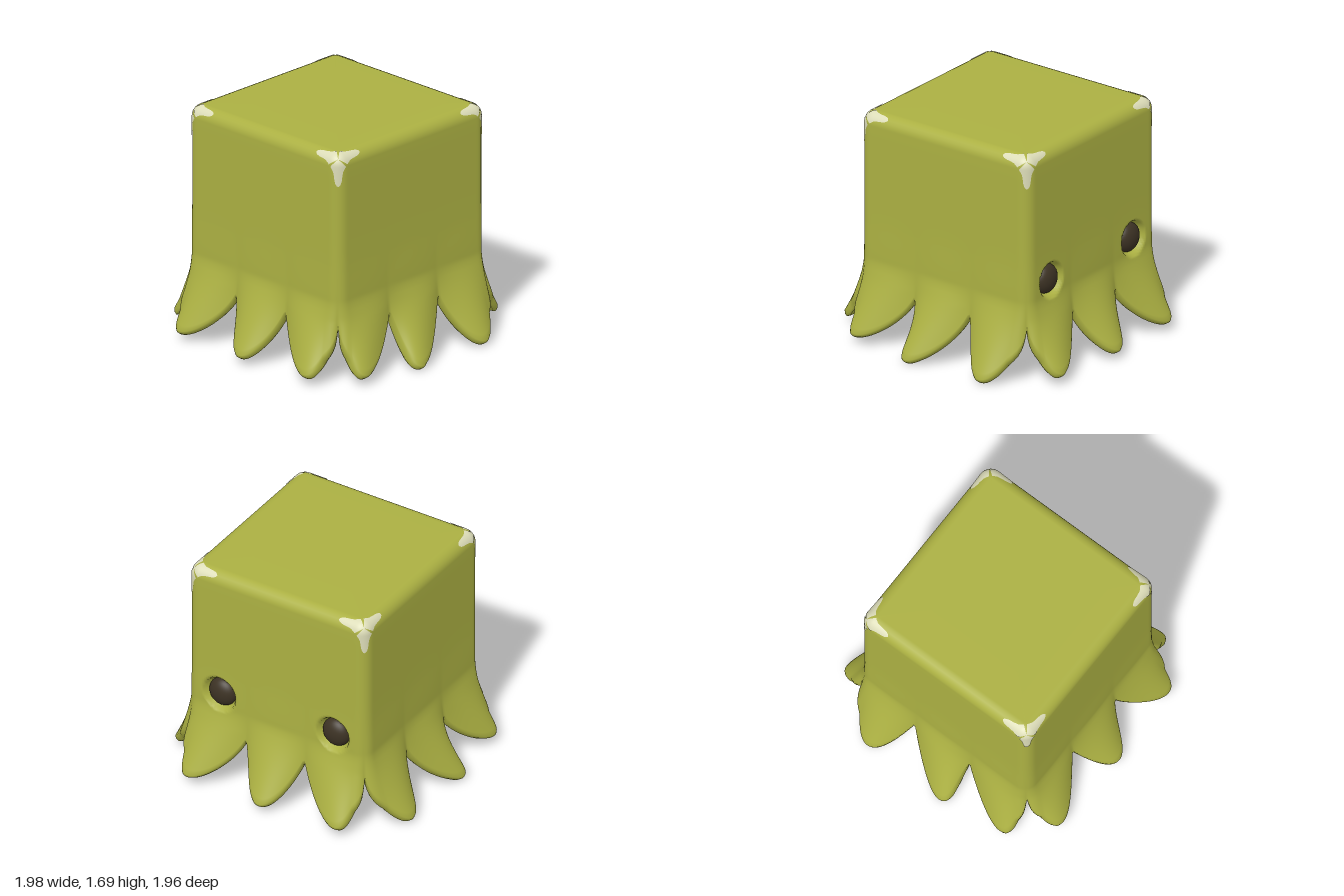
import * as THREE from 'three';
import { mergeVertices } from 'three/addons/utils/BufferGeometryUtils.js';

const H = 0.74, R = 0.09, TOP = 1.69;      // half width, edge radius, height of the block
const EYE = { x: 0.47, y: 0.695, r: 0.137 };
const NOTCH = 0.38, BELLY = 0.42;

// Tentacles per side, along the side's tangent: [tip height, outward reach, sideways lean]
const ends = [[0.05, 0.93, -0.13], [0.04, 1.03, 0], [0.05, 0.93, 0.13]];
const flank = [[0.05, 0.83, -0.17], [0, 0.98, -0.15], [0.01, 0.95, 0]];
const flankMirror = flank.map(([y, k, s]) => [y, k, -s]).reverse();
const SIDES = [
  { t: [1, 0], n: [0, 1], legs: ends },
  { t: [0, -1], n: [1, 0], legs: flank },
  { t: [-1, 0], n: [0, -1], legs: ends },
  { t: [0, 1], n: [-1, 0], legs: flankMirror },
];
const BOUNDS = [-H, -0.24, 0.24, H];
const lerp = THREE.MathUtils.lerp;

function flare(y) {
  const k = Math.max(0, 0.6 - y);
  return 0.53 * k * k / (k + 0.12) + 0.008 * THREE.MathUtils.smoothstep(0.95 - y, 0, 0.35);
}

// One vertical strip of the skin: crown, rounded edge, wall, tentacle, inner face, underside
function column(side, a) {
  const i = a < BOUNDS[1] ? 0 : a < BOUNDS[2] ? 1 : 2;
  const [tip, reach, lean] = side.legs[i];
  const mid = (BOUNDS[i] + BOUNDS[i + 1]) / 2, half = (BOUNDS[i + 1] - BOUNDS[i]) / 2;
  const t = Math.min(1, Math.abs(a - mid) / half);
  const qa = THREE.MathUtils.clamp(a, R - H, H - R), qn = H - R;
  const len = Math.hypot(a - qa, R), da = (a - qa) / len, dn = R / len;
  const pts = [];
  const put = (off, y, scale = 1) => {
    const g = THREE.MathUtils.clamp((0.45 - y) / 0.42, 0, 1) * (1 - t * t);
    const la = (qa + da * (R + off)) * scale + lean * g;
    const ln = (qn + dn * (R + off)) * scale;
    const x = side.t[0] * la + side.n[0] * ln;
    let z = side.t[1] * la + side.n[1] * ln;
    // eye sockets pressed into the back wall
    if (z < -0.7 && y > 0.5) {
      const d = Math.hypot(Math.abs(x) - EYE.x, y - EYE.y);
      z += 0.06 * THREE.MathUtils.smoothstep(EYE.r - d, 0, 0.035);
    }
    pts.push([x, y, z]);
  };
  const out = y => flare(y) * reach * (1 - 0.75 * t * t);

  for (const s of [0, 0.5]) put(-R, TOP, s);
  for (let j = 0; j <= 6; j++) {
    const w = (1 - j / 6) * Math.PI / 2;
    put(R * (Math.cos(w) - 1), TOP - R + R * Math.sin(w));
  }
  for (let j = 1; j <= 8; j++) { const y = lerp(TOP - R, 0.86, j / 8); put(out(y), y); }
  for (let j = 1; j <= 24; j++) { const y = lerp(0.86, 0.52, j / 24); put(out(y), y); }

  const yb = tip + (NOTCH - tip) * Math.pow(t, 2.2);
  const yo = yb + 0.035, o = out(yo);
  for (let j = 1; j <= 12; j++) { const y = lerp(0.52, yo, j / 12); put(out(y), y); }
  put(o - 0.008, yb + 0.013);
  put(o - 0.028, yb);
  put(o - 0.055, yb + 0.01);
  for (let j = 1; j <= 8; j++) {
    const k = j / 8;
    put(lerp(o - 0.055, -R, k), lerp(yb + 0.01, BELLY, Math.pow(k, 0.9)));
  }
  for (const s of [0.85, 0.6, 0.3, 0]) put(-R, lerp(BELLY + 0.04, BELLY, s), s);
  return pts;
}

function skinGeometry() {
  const N = 96, cols = [];
  for (const side of SIDES)
    for (let i = 0; i < N; i++) cols.push(column(side, -H + 2 * H * i / N));
  const rows = cols[0].length, index = [];
  cols.forEach((c, i) => {
    const p = i * rows, q = ((i + 1) % cols.length) * rows;
    for (let j = 0; j < rows - 1; j++)
      index.push(p + j, p + j + 1, q + j + 1, p + j, q + j + 1, q + j);
  });
  return smooth(cols.flat(2), index);
}

function smooth(positions, index) {
  const g = new THREE.BufferGeometry();
  g.setAttribute('position', new THREE.Float32BufferAttribute(positions, 3));
  g.setIndex(index);
  const m = mergeVertices(g, 1e-5);
  m.computeVertexNormals();
  return m;
}

// One arm of a corner highlight: starts at the corner's middle and runs along local -x
function armGeometry() {
  const r = R + 0.004, M = 8, pos = [], index = [];
  const ring = (s, deg, blend = 1) => {
    for (let i = 0; i <= M; i++) {
      const f = Math.PI / 4 + THREE.MathUtils.degToRad(deg) * (2 * i / M - 1);
      const v = new THREE.Vector3(1, 1, 1).normalize()
        .lerp(new THREE.Vector3(0, Math.sin(f), Math.cos(f)), blend).setLength(r);
      pos.push(v.x - s, v.y, v.z);
    }
  };
  for (let k = 0; k <= 5; k++) ring(0, 36, k / 5);
  const outline = [[0.015, 29], [0.035, 22], [0.07, 18], [0.1, 16], [0.125, 12], [0.14, 6], [0.145, 0]];
  outline.forEach(([s, w]) => ring(s, w));
  const W = M + 1;
  for (let j = 0; j < pos.length / 3 / W - 1; j++)
    for (let i = 0; i < M; i++) {
      const p = j * W + i;
      index.push(p, p + W, p + W + 1, p, p + W + 1, p + 1);
    }
  return smooth(pos, index);
}

export function createModel() {
  const skin = new THREE.MeshStandardMaterial({ color: 0xabb042 });
  const shine = new THREE.MeshStandardMaterial({ color: 0xdcdcb8, side: THREE.DoubleSide });
  const dark = new THREE.MeshStandardMaterial({ color: 0x3c3224 });
  skin.name = 'olive skin';
  shine.name = 'pale highlight';
  dark.name = 'dark eye';

  const model = new THREE.Group();
  model.name = 'tentacledBlock';
  const add = (parent, geometry, material, name) => {
    const mesh = new THREE.Mesh(geometry, material);
    mesh.name = name;
    parent.add(mesh);
    return mesh;
  };

  add(model, skinGeometry(), skin, 'bodyWithTentacles');

  // Domed eyes sitting in the sockets
  for (const s of [1, -1]) {
    const eye = add(model, new THREE.SphereGeometry(1, 32, 20), dark, s > 0 ? 'leftEye' : 'rightEye');
    eye.scale.set(0.108, 0.108, 0.07);
    eye.position.set(s * EYE.x, EYE.y, -0.69);
  }

  // Three-armed highlights on the top corners, one arm per edge
  const arm = armGeometry();
  const axis = new THREE.Vector3(1, 1, 1).normalize();
  for (const sx of [1, -1]) for (const sz of [1, -1]) {
    const corner = new THREE.Group();
    corner.name = 'cornerHighlight';
    for (let k = 0; k < 3; k++)
      add(corner, arm, shine, 'highlightArm').quaternion.setFromAxisAngle(axis, k * 2 * Math.PI / 3);
    corner.position.set(sx * (H - R), TOP - R, sz * (H - R));
    corner.scale.set(sx, 1, sz);
    model.add(corner);
  }
  return model;
}
